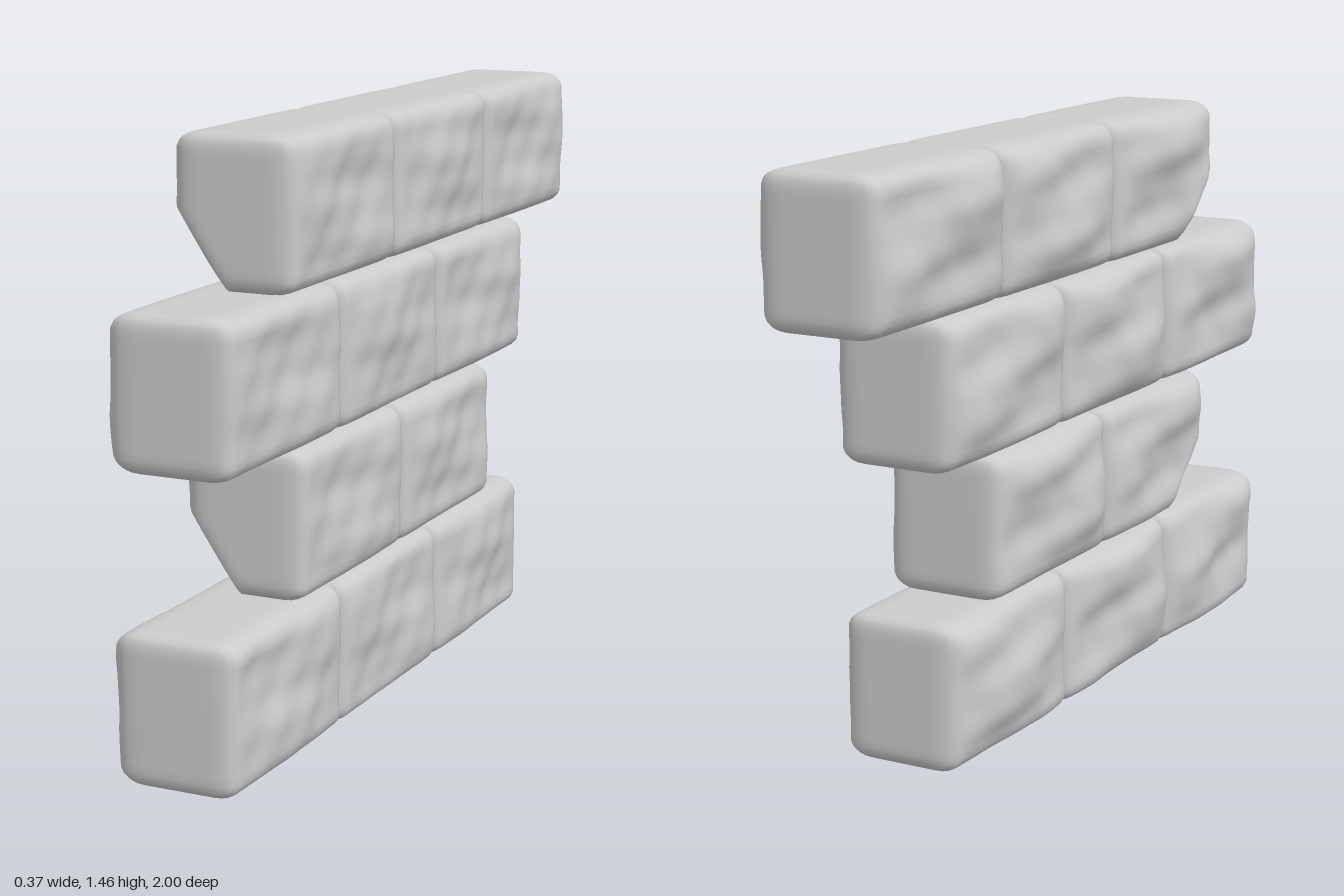
import * as THREE from 'three';
import { mergeVertices } from 'three/addons/utils/BufferGeometryUtils.js';

const HALF = new THREE.Vector3(0.15, 0.182, 0.281);
const ROUND = new THREE.Vector3(0.06, 0.04, 0.03);

// Rounded stone block with swollen, uneven broad faces
function stoneGeometry(seed, chipped) {
  let g = new THREE.BoxGeometry(HALF.x * 2, HALF.y * 2, HALF.z * 2, 14, 20, 28);
  g.deleteAttribute('uv');
  g.deleteAttribute('normal');
  g = mergeVertices(g, 1e-4);

  const inner = HALF.clone().sub(ROUND);
  const low = inner.clone().negate();
  const cut = new THREE.Vector3(-0.72, -0.5, 0.48).normalize();
  const cutDepth = cut.dot(new THREE.Vector3(-0.13, -0.01, HALF.z));
  const pos = g.attributes.position;
  const p = new THREE.Vector3(), c = new THREE.Vector3();

  for (let i = 0; i < pos.count; i++) {
    p.fromBufferAttribute(pos, i);
    // Round the edges
    c.copy(p).clamp(low, inner);
    p.sub(c).divide(ROUND).normalize().multiply(ROUND).add(c);

    // Swell and dent the two broad faces
    const side = p.x / HALF.x;
    const v = p.y / HALF.y, w = p.z / HALF.z;
    const pillow = (1 - v ** 4) * (1 - w ** 4);
    const s = seed * 2.4 + (side < 0 ? 1.3 : 0);
    const wave = Math.sin(2.6 * w + 1.7 * v + s) * 0.6
      + Math.sin(4.6 * v - 2.2 * w + s * 1.7) * 0.4;
    const dent = Math.sin(9 * v + 5 * w + s * 2.3) * Math.sin(6 * w - 3 * v + s) * 0.004;
    const swell = side < 0 ? 0.022 + 0.024 * wave : 0.004 + 0.014 * wave;
    p.x += side * (pillow * (swell + dent) + (1 - w * w * 0.3) * 0.004);

    // Broken lower corner
    if (chipped) {
      const over = p.dot(cut) - cutDepth;
      if (over > 0) p.addScaledVector(cut, -over * 0.95);
    }
    pos.setXYZ(i, p.x, p.y, p.z);
  }
  g.computeVertexNormals();
  return g;
}

export function createModel() {
  const wall = new THREE.Group();
  wall.name = 'stoneWall';
  const material = new THREE.MeshStandardMaterial({ color: 0xcccccc, roughness: 0.9 });

  // Staggered courses from the ground up: front end, block count, chipped front
  const courses = [
    { front: 1.0, count: 3, chipped: false },
    { front: 0.652, count: 2, chipped: true },
    { front: 1.0, count: 3, chipped: false },
    { front: 0.697, count: 3, chipped: true },
  ];
  const pitch = [0.56, 0.562, 0.566, 0.565];

  courses.forEach(({ front, count, chipped }, row) => {
    const course = new THREE.Group();
    course.name = `course${row + 1}`;
    for (let i = 0; i < count; i++) {
      const stone = new THREE.Mesh(stoneGeometry(row * 3 + i + 1, chipped && i === 0), material);
      stone.name = `stone${i + 1}`;
      stone.position.set(0.015, HALF.y + 0.004 + row * 0.364, front - HALF.z - i * pitch[row]);
      course.add(stone);
    }
    wall.add(course);
  });
  return wall;
}
